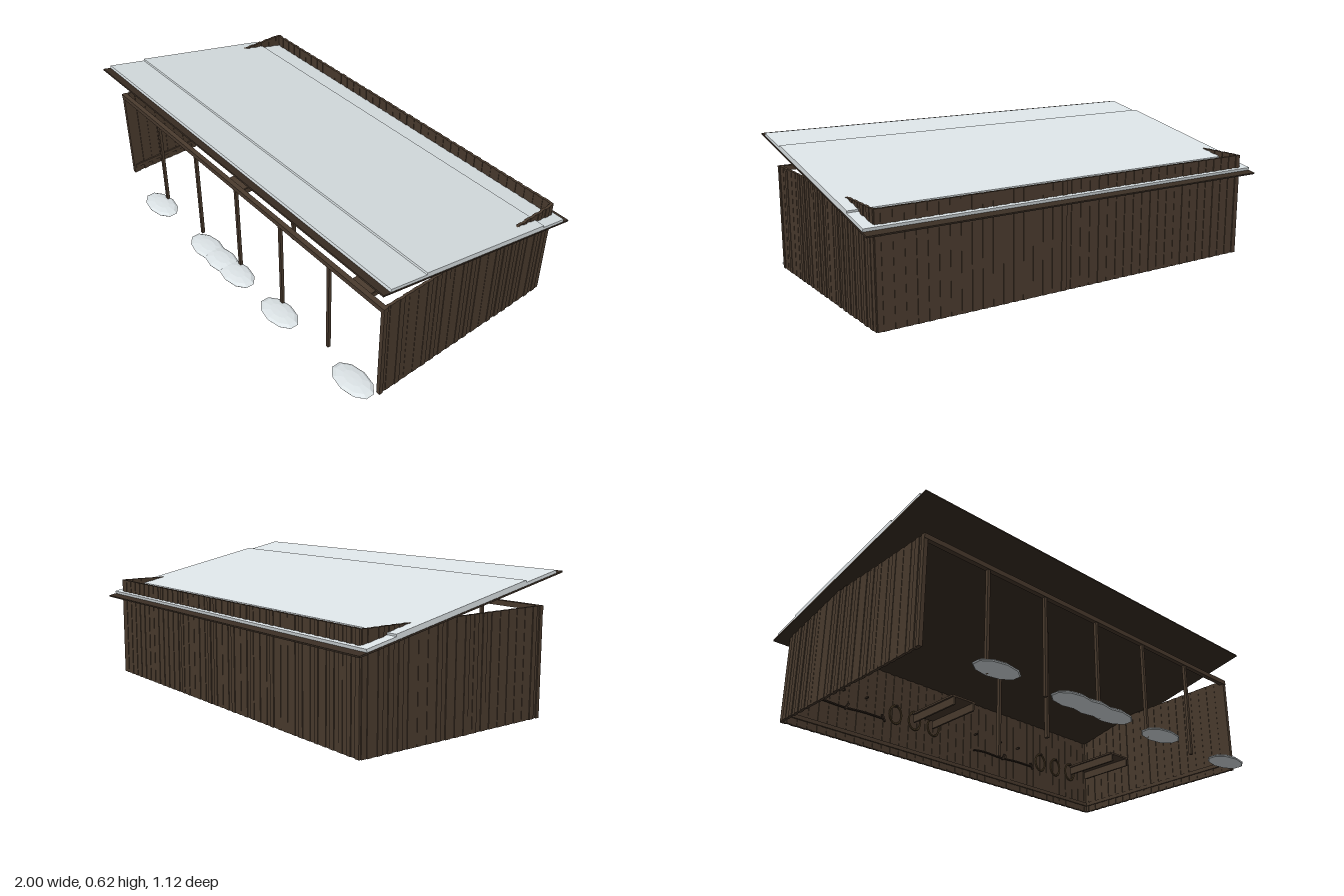
import * as THREE from 'three';

const mat = (color) => new THREE.MeshStandardMaterial({ color, flatShading: true });

export function createModel() {
  const root = new THREE.Group();
  const wood = mat(0x4a3b2e), darkWood = mat(0x3a2e24), snow = mat(0xdde4e7), rope = mat(0x5c4a30);
  const W = 0.945, FRONT = 0.45, BACK = -0.505, H = 0.475;

  let seed = 7;
  const rnd = () => (seed = (seed * 16807) % 2147483647) / 2147483647;

  const add = (parent, name, geo, material, x = 0, y = 0, z = 0) => {
    const m = new THREE.Mesh(geo, material);
    m.name = name;
    m.position.set(x, y, z);
    parent.add(m);
    return m;
  };
  const box = (parent, name, w, h, d, x, y, z, material = wood) =>
    add(parent, name, new THREE.BoxGeometry(w, h, d), material, x, y, z);

  // Wall of upright planks along local x, alternately set in and out
  const plankWall = (name, length, height) => {
    const g = new THREE.Group();
    g.name = name;
    const n = Math.round(length / 0.0243), pitch = length / n;
    for (let i = 0; i < n; i++) {
      const out = (i % 2 ? 0.0015 : -0.0015) + (rnd() - 0.5) * 0.002;
      box(g, 'plank', pitch, height, 0.012, -length / 2 + (i + 0.5) * pitch, height / 2, out);
    }
    root.add(g);
    return g;
  };
  plankWall('backWall', 2 * W, H).position.z = BACK;
  for (const s of [-1, 1]) {
    const side = plankWall(s < 0 ? 'rightWall' : 'leftWall', FRONT - BACK, H);
    side.rotation.y = s * Math.PI / 2;
    side.position.set(s * W, 0, (FRONT + BACK) / 2);
    box(root, 'cornerPost', 0.018, H, 0.018, s * W, H / 2, FRONT);
    box(root, 'sideSill', 0.008, 0.018, FRONT - BACK, s * (W - 0.009), 0.04, (FRONT + BACK) / 2);
  }
  box(root, 'backSill', 2 * W, 0.018, 0.008, 0, 0.04, BACK + 0.01);

  // Open front: beam and posts, then two taller posts along the middle
  box(root, 'frontBeam', 2 * W + 0.018, 0.022, 0.022, 0, H - 0.011, FRONT);
  for (let i = -2; i <= 2; i++)
    box(root, 'frontPost', 0.014, H - 0.02, 0.014, i * 0.314, (H - 0.02) / 2, FRONT);
  box(root, 'innerPost', 0.014, 0.526, 0.018, 0, 0.263, 0.14);
  box(root, 'innerPost', 0.014, 0.462, 0.018, 0, 0.231, -0.18);

  // Sloping roof with snow lying on it
  const roof = new THREE.Group();
  roof.name = 'roof';
  roof.position.set(0, 0.502, -0.022);
  roof.rotation.x = -0.207;
  root.add(roof);
  box(roof, 'roofBoard', 2, 0.007, 1.098, 0, 0, 0, darkWood);
  box(roof, 'lowerSnow', 1.996, 0.013, 1.025, 0, 0.010, 0, snow);
  box(roof, 'upperSnow', 1.996, 0.022, 0.70, 0, 0.0145, -0.021, snow);

  // Low benches with boards under both edges
  for (const x of [-0.48, 0.48]) {
    const bench = new THREE.Group();
    bench.name = 'bench';
    bench.position.set(x, 0, 0.01);
    root.add(bench);
    box(bench, 'benchTop', 0.124, 0.008, 0.27, 0, 0.038, 0);
    for (const s of [-1, 1])
      box(bench, 'benchSide', 0.008, 0.034, 0.27, s * 0.05, 0.017, 0);
  }

  // Rope coils, long tools and pegs hung on the back wall, in two sets
  for (const x of [-0.485, 0.465]) {
    for (const dx of [0.11, 0.222, 0.335]) {
      const coil = add(root, 'ropeCoil', new THREE.TorusGeometry(0.04, 0.005, 6, 20), rope, x + dx, 0.195, BACK + 0.016);
      coil.scale.set(0.85, 1.12, 1);
      box(root, 'coilPeg', 0.007, 0.007, 0.025, x + dx, 0.238, BACK + 0.016, darkWood);
    }
    const path = new THREE.CatmullRomCurve3([
      [-0.365, 0.142], [-0.30, 0.150], [-0.18, 0.147], [-0.06, 0.154], [0.04, 0.153],
    ].map(([px, py]) => new THREE.Vector3(x + px, py, BACK + 0.022)));
    add(root, 'toolShaft', new THREE.TubeGeometry(path, 16, 0.005, 6), darkWood);
    for (const [px, tilt] of [[-0.16, 0.5], [0.04, -0.5]]) {
      const head = box(root, 'toolHead', 0.008, 0.036, 0.01, x + px, 0.156, BACK + 0.022, darkWood);
      head.rotation.z = -tilt;
    }
    for (const px of [-0.345, -0.18, -0.055])
      box(root, 'wallPeg', 0.007, 0.007, 0.025, x + px, 0.232, BACK + 0.016, darkWood);
  }

  // Snow drifts along the front: faceted domes with a flat base
  const drift = new THREE.LatheGeometry(
    [[0, 0], [0.95, 0], [1, 0.25], [0.82, 0.7], [0.45, 0.94], [0, 1]].map(([r, y]) => new THREE.Vector2(r, y)), 10);
  for (const [x, h] of [[-0.615, 0.02], [-0.205, 0.021], [-0.09, 0.023], [0.03, 0.022], [0.35, 0.019], [0.835, 0.021]])
    add(root, 'snowDrift', drift, snow, x, 0, 0.495).scale.set(0.112, h, 0.064);

  return root;
}
